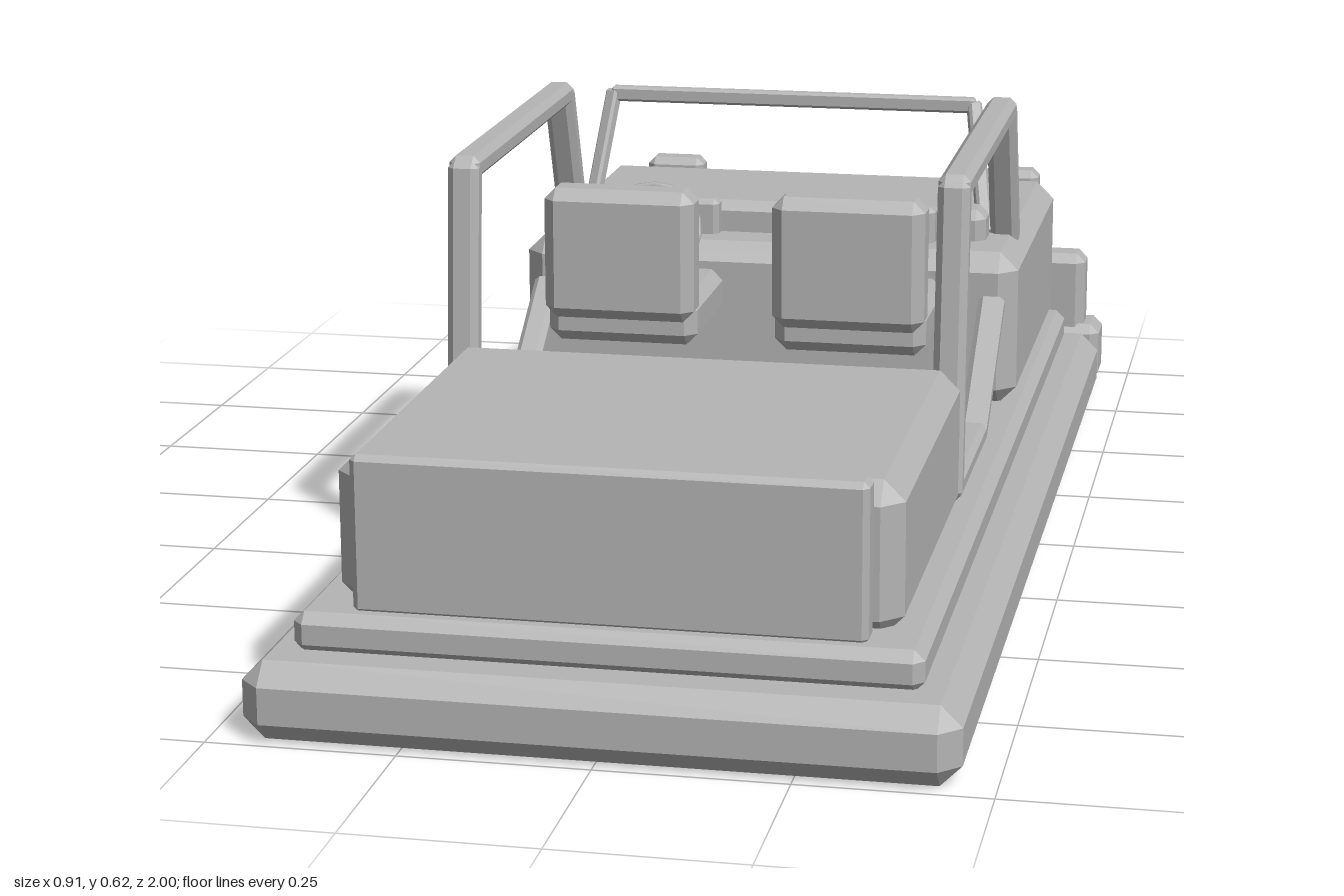
import * as THREE from 'three';
import { ConvexGeometry } from 'three/addons/geometries/ConvexGeometry.js';

const grey = new THREE.MeshStandardMaterial({ color: 0xb4b4b4 });
grey.name = 'primer grey';

// Box with every edge and corner cut flat
function chamferGeometry(w, h, d, c) {
  const half = [w / 2, h / 2, d / 2], points = [];
  for (let axis = 0; axis < 3; axis++)
    for (const sx of [-1, 1]) for (const sy of [-1, 1]) for (const sz of [-1, 1]) {
      const s = [sx, sy, sz];
      const p = half.map((v, i) => s[i] * (i === axis ? v : v - c));
      points.push(new THREE.Vector3(...p));
    }
  return new ConvexGeometry(points);
}

export function createModel() {
  const model = new THREE.Group();
  model.name = 'openTopOffRoader';

  function add(name, geometry, parent = model) {
    const mesh = new THREE.Mesh(geometry, grey);
    mesh.name = name;
    parent.add(mesh);
    return mesh;
  }
  // Chamfered block given by its limits on each axis
  function block(name, [x0, x1], [y0, y1], [z0, z1], c) {
    const mesh = add(name, chamferGeometry(x1 - x0, y1 - y0, z1 - z0, c));
    mesh.position.set((x0 + x1) / 2, (y0 + y1) / 2, (z0 + z1) / 2);
    return mesh;
  }
  // Chamfered bar running between two points
  function bar(name, a, b, width, depth, c) {
    const from = new THREE.Vector3(...a), to = new THREE.Vector3(...b);
    const mesh = add(name, chamferGeometry(width, depth, from.distanceTo(to) + depth * 0.6, c));
    mesh.position.copy(from).add(to).multiplyScalar(0.5);
    mesh.lookAt(to);
    return mesh;
  }

  // Body
  block('baseSkirt', [-0.457, 0.457], [0, 0.105], [-0.885, 1], 0.028);
  block('deck', [-0.403, 0.403], [0.1, 0.155], [-0.83, 0.935], 0.014);
  block('cargoBox', [-0.365, 0.365], [0.14, 0.345], [0.285, 0.865], 0.028);
  block('tailgate', [-0.33, 0.33], [0.15, 0.36], [0.865, 0.91], 0.008);
  block('hood', [-0.385, 0.385], [0.15, 0.39], [-0.785, -0.2], 0.028);
  block('cowl', [-0.325, 0.325], [0.37, 0.438], [-0.36, -0.29], 0.015);

  // Nose: grille, bumper and winch
  block('grille', [-0.3, 0.3], [0.08, 0.29], [-0.915, -0.885], 0.006);
  block('bumper', [-0.44, 0.44], [0.015, 0.105], [-0.985, -0.9], 0.012);
  const winch = add('winchDrum', new THREE.CylinderGeometry(0.048, 0.048, 0.05, 16).toNonIndexed());
  winch.geometry.computeVertexNormals();
  winch.rotation.x = Math.PI / 2;
  winch.position.set(0, 0.072, -0.975);

  for (const s of [-1, 1]) {
    const span = (a, b) => (s > 0 ? [a, b] : [-b, -a]);
    const side = s > 0 ? 'left' : 'right';

    block(side + 'BumperEnd', span(0.35, 0.455), [0.01, 0.11], [-0.985, -0.89], 0.015);
    block(side + 'BumperPost', span(0.348, 0.428), [0.09, 0.232], [-0.97, -0.9], 0.015);
    block(side + 'Headlight', span(0.245, 0.343), [0.295, 0.375], [-0.957, -0.905], 0.012);

    // Side hoop and door sill
    const x = 0.348 * s;
    const hoop = [[x, 0.17, 0.305], [x, 0.595, 0.27], [x, 0.6, -0.29], [x, 0.385, -0.37]];
    for (let i = 0; i < 3; i++) bar(side + 'RollBar' + (i + 1), hoop[i], hoop[i + 1], 0.045, 0.036, 0.01);
    const sill = [[x, 0.17, 0.3], [x, 0.17, 0.005], [x, 0.315, -0.2]];
    for (let i = 0; i < 2; i++) bar(side + 'DoorSill' + (i + 1), sill[i], sill[i + 1], 0.04, 0.03, 0.008);

    // Windscreen upright
    bar(side + 'WindscreenPost', [0.316 * s, 0.395, -0.36], [0.29 * s, 0.58, -0.418], 0.022, 0.02, 0.004);

    // Seat
    block(side + 'SeatBack', span(0.058, 0.282), [0.335, 0.53], [0.025, 0.095], 0.017);
    block(side + 'SeatCushion', span(0.058, 0.282), [0.295, 0.365], [-0.155, 0.07], 0.017);

    // Dash pods
    block(side + 'DashPod', span(0.09, 0.25), [0.38, 0.445], [-0.3, -0.265], 0.008);
  }
  bar('windscreenTop', [-0.285, 0.58, -0.418], [0.285, 0.58, -0.418], 0.02, 0.024, 0.004);

  // Steering wheel with hub, spokes and column
  const steering = new THREE.Group();
  steering.name = 'steeringWheel';
  steering.position.set(-0.19, 0.4, -0.22);
  steering.rotation.x = -0.55;
  model.add(steering);
  add('wheelRim', new THREE.TorusGeometry(0.076, 0.007, 6, 20), steering);
  add('wheelHub', new THREE.CylinderGeometry(0.018, 0.018, 0.016, 10), steering).rotation.x = Math.PI / 2;
  for (let i = 0; i < 3; i++) {
    const a = Math.PI / 2 + (i * Math.PI * 2) / 3;
    const spoke = add('wheelSpoke', new THREE.BoxGeometry(0.07, 0.01, 0.006), steering);
    spoke.position.set(Math.cos(a) * 0.04, Math.sin(a) * 0.04, 0);
    spoke.rotation.z = a;
  }
  const column = add('steeringColumn', new THREE.CylinderGeometry(0.01, 0.01, 0.1, 8), steering);
  column.rotation.x = Math.PI / 2;
  column.position.z = -0.05;

  return model;
}
